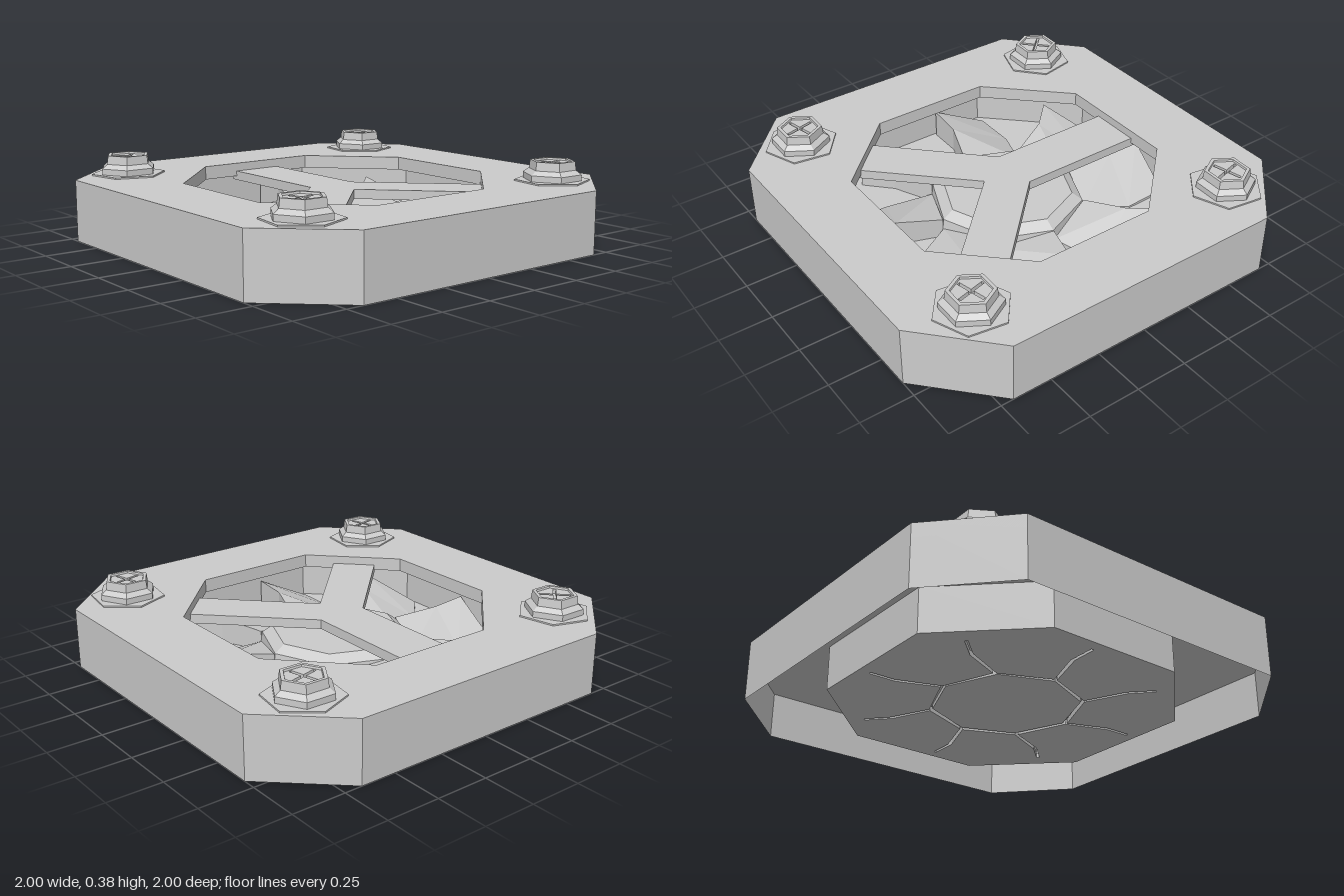
import * as THREE from 'three';

const mat = new THREE.MeshStandardMaterial({ color: 0xcccccc, flatShading: true });
const thin = new THREE.MeshStandardMaterial({ color: 0xcccccc, flatShading: true, side: THREE.DoubleSide });

function add(parent, geometry, name, material = mat) {
  const mesh = new THREE.Mesh(geometry, material);
  mesh.name = name;
  parent.add(mesh);
  return mesh;
}

// point at radius r and angle in degrees, turning from +x towards +z
const polar = (r, deg) => [r * Math.cos(deg * Math.PI / 180), r * Math.sin(deg * Math.PI / 180)];
const lathe = (pts, n) => new THREE.LatheGeometry(pts.map(p => new THREE.Vector2(...p)), n);

// octagon with corners (a, b) and (c, d) repeated in every quadrant
function octagon(a, b, c, d) {
  return [[c, d], [a, b], [-a, b], [-c, d], [-c, -d], [-a, -b], [a, -b], [c, -d]];
}

// horizontal plate from outline and holes given as [x, z]; outline anticlockwise, holes clockwise
function slab(outline, y0, y1, holes = []) {
  const loop = (pts, clockwise) => {
    const v = pts.map(([x, z]) => new THREE.Vector2(x, -z));
    return THREE.ShapeUtils.isClockWise(v) === clockwise ? v : v.reverse();
  };
  const shape = new THREE.Shape(loop(outline, false));
  holes.forEach(h => shape.holes.push(new THREE.Path(loop(h, true))));
  return new THREE.ExtrudeGeometry(shape, { depth: y1 - y0, bevelEnabled: false })
    .rotateX(-Math.PI / 2).translate(0, y0, 0);
}

// side faces from height y0 up to a closed loop of 3D points, clockwise from above
function sides(high, y0) {
  const out = [];
  high.forEach((p, i) => {
    const q = high[(i + 1) % high.length];
    const p0 = [p[0], y0, p[2]], q0 = [q[0], y0, q[2]];
    out.push(...p0, ...p, ...q, ...p0, ...q, ...q0);
  });
  return out;
}

function fromTriangles(pos) {
  const g = new THREE.BufferGeometry();
  g.setAttribute('position', new THREE.Float32BufferAttribute(pos, 3));
  g.computeVertexNormals();
  return g;
}

const wall = (pts, y0, y1) => fromTriangles(sides(pts.map(([x, z]) => [x, y1, z]), y0));

// pitched fan blade: high leading edge, falling to the floor behind it
function bladeGeometry() {
  const top = [[0.365, 0, 0.13], [0.575, 7.2, 0.16], [0.74, 5.8, 0.175],
    [0.765, 26, 0.05], [0.585, 35.5, 0.045], [0.365, 44.5, 0.08]].map(([r, a, y]) => {
    const [x, z] = polar(r, a);
    return [x, y, z];
  });
  const pos = sides(top, 0.03);
  for (const [a, b, c] of [[0, 1, 5], [1, 4, 5], [1, 2, 4], [2, 3, 4]])
    pos.push(...top[a], ...top[c], ...top[b]);
  return fromTriangles(pos);
}

function createBolt(washerTurn, slotTurn) {
  const bolt = new THREE.Group();
  bolt.name = 'bolt';
  const washer = lathe([[0, 0.285], [0.175, 0.285], [0.175, 0.297], [0, 0.297]], 6);
  add(bolt, washer, 'washer').rotation.y = washerTurn;
  const headTurn = 0.5;
  add(bolt, lathe([[0.137, 0.295], [0.137, 0.325], [0.11, 0.345], [0.105, 0.385],
    [0.088, 0.385], [0.085, 0.374], [0.085, 0.355], [0, 0.355]], 6), 'boltHead').rotation.y = headTurn;
  // recessed face with a cross-shaped slot
  const hex = [], slot = [], w = 0.007, l = 0.07;
  for (let i = 0; i < 6; i++) hex.push(polar(0.086, 90 + i * 60));
  for (let i = 0; i < 4; i++) {
    const c = Math.cos(slotTurn + i * Math.PI / 2), s = Math.sin(slotTurn + i * Math.PI / 2);
    for (const [x, z] of [[l, -w], [l, w], [w, w]]) slot.push([x * c - z * s, x * s + z * c]);
  }
  add(bolt, slab(hex, 0.35, 0.376, [slot]), 'slottedFace').rotation.y = headTurn;
  return bolt;
}

export function createModel() {
  const model = new THREE.Group();
  model.name = 'fanHousing';

  // outer shell, open underneath
  const outer = octagon(0.667, 1, 1, 0.69);
  add(model, wall(outer, 0, 0.289), 'outerWall', thin);

  // top plate with an octagonal opening
  add(model, slab(outer, 0.225, 0.29, [octagon(0.31, 0.658, 0.655, 0.3)]), 'topPlate');

  // Y-shaped guard set a little below the top
  const half = [[0.125, -0.69], [0.125, -0.04], [0.58, 0.415], [0.435, 0.575]];
  const mirrored = half.map(([x, z]) => [-x, z]).reverse();
  add(model, slab([...half, [0, 0.13], ...mirrored], 0.205, 0.25), 'guard');

  // duct around the fan
  const duct = octagon(0.36, 0.75, 0.75, 0.345);
  add(model, wall(duct, 0.01, 0.23), 'duct', thin);

  // floor with a hub opening and eight bent slits, covered by the hub and blades
  const cut = [];
  for (let i = 0; i < 8; i++) {
    for (const [r, d] of [[0.364, 0.2], [0.575, 7.6], [0.7, 6.5], [0.7, 7.7], [0.565, 9.2], [0.364, 2.5]])
      cut.push(polar(r, i * 45 + d));
  }
  add(model, slab(duct, 0.01, 0.035, [cut]), 'floor');

  // hub and blades
  add(model, lathe([[0, 0.012], [0.348, 0.012], [0.348, 0.034], [0.372, 0.034],
    [0.36, 0.13], [0.31, 0.165], [0, 0.165]], 8), 'hub');
  const blade = bladeGeometry();
  for (let i = 0; i < 8; i++) add(model, blade, 'blade', thin).rotation.y = i * Math.PI / 4;

  // corner bolts, each turned a little differently
  for (const [x, z, washerTurn, slotTurn] of [[-0.715, -0.705, 0.2, -0.26], [0.722, -0.705, -0.15, 0.26],
    [-0.725, 0.695, -0.15, 0.26], [0.722, 0.695, -0.15, 0.26]]) {
    const bolt = createBolt(washerTurn, slotTurn);
    bolt.position.set(x, 0, z);
    model.add(bolt);
  }
  return model;
}
